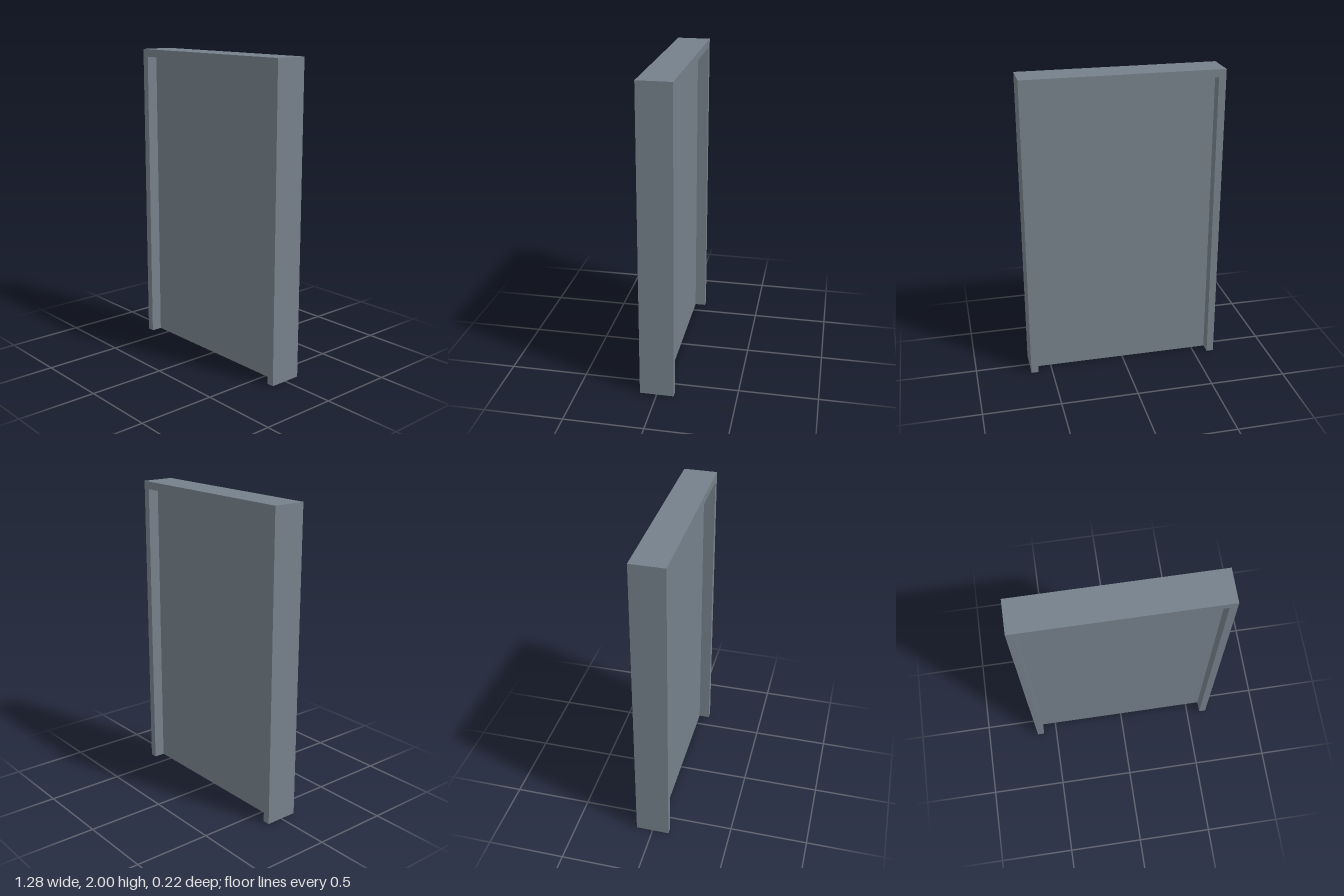
import * as THREE from 'three';

const HEIGHT = 2, HALF_W = 0.64, HALF_D = 0.108; // outer frame
const IN_W = 0.593, IN_TOP = 1.95;               // frame opening

export function createModel() {
  const door = new THREE.Group();
  door.name = 'door';
  const slateGrey = new THREE.MeshStandardMaterial({ color: 0x76818b, side: THREE.DoubleSide });
  slateGrey.name = 'slateGrey';

  const add = (name, geometry, parent) => {
    const mesh = new THREE.Mesh(geometry, slateGrey);
    mesh.name = name;
    parent.add(mesh);
    return mesh;
  };

  // Hollow U-shaped frame, open at the bottom of both jambs
  const frame = new THREE.Group();
  frame.name = 'frame';
  door.add(frame);

  // Front and back faces
  const outline = new THREE.Shape([
    [-HALF_W, 0], [-IN_W, 0], [-IN_W, IN_TOP], [IN_W, IN_TOP],
    [IN_W, 0], [HALF_W, 0], [HALF_W, HEIGHT], [-HALF_W, HEIGHT],
  ].map(([x, y]) => new THREE.Vector2(x, y)));
  for (const s of [1, -1]) {
    const face = add(s > 0 ? 'frameFront' : 'frameBack', new THREE.ShapeGeometry(outline), frame);
    face.position.z = s * HALF_D;
    if (s < 0) face.rotation.y = Math.PI;
  }

  // Side walls (outer facing out, inner facing the opening) and the head surfaces
  for (const s of [1, -1]) {
    const outer = add('jambOuterSide', new THREE.PlaneGeometry(2 * HALF_D, HEIGHT), frame);
    outer.rotation.y = s * Math.PI / 2;
    outer.position.set(s * HALF_W, HEIGHT / 2, 0);
    const inner = add('jambReveal', new THREE.PlaneGeometry(2 * HALF_D, IN_TOP), frame);
    inner.rotation.y = -s * Math.PI / 2;
    inner.position.set(s * IN_W, IN_TOP / 2, 0);
  }
  const top = add('headTop', new THREE.PlaneGeometry(2 * HALF_W, 2 * HALF_D), frame);
  top.rotation.x = -Math.PI / 2;
  top.position.y = HEIGHT;
  const soffit = add('headReveal', new THREE.PlaneGeometry(2 * IN_W, 2 * HALF_D), frame);
  soffit.rotation.x = Math.PI / 2;
  soffit.position.y = IN_TOP;

  // Door leaf, its edges set into the frame
  const leafHeight = 1.967;
  const leaf = add('doorLeaf', new THREE.BoxGeometry(1.22, leafHeight, 0.072), door);
  leaf.position.y = leafHeight / 2;

  return door;
}
